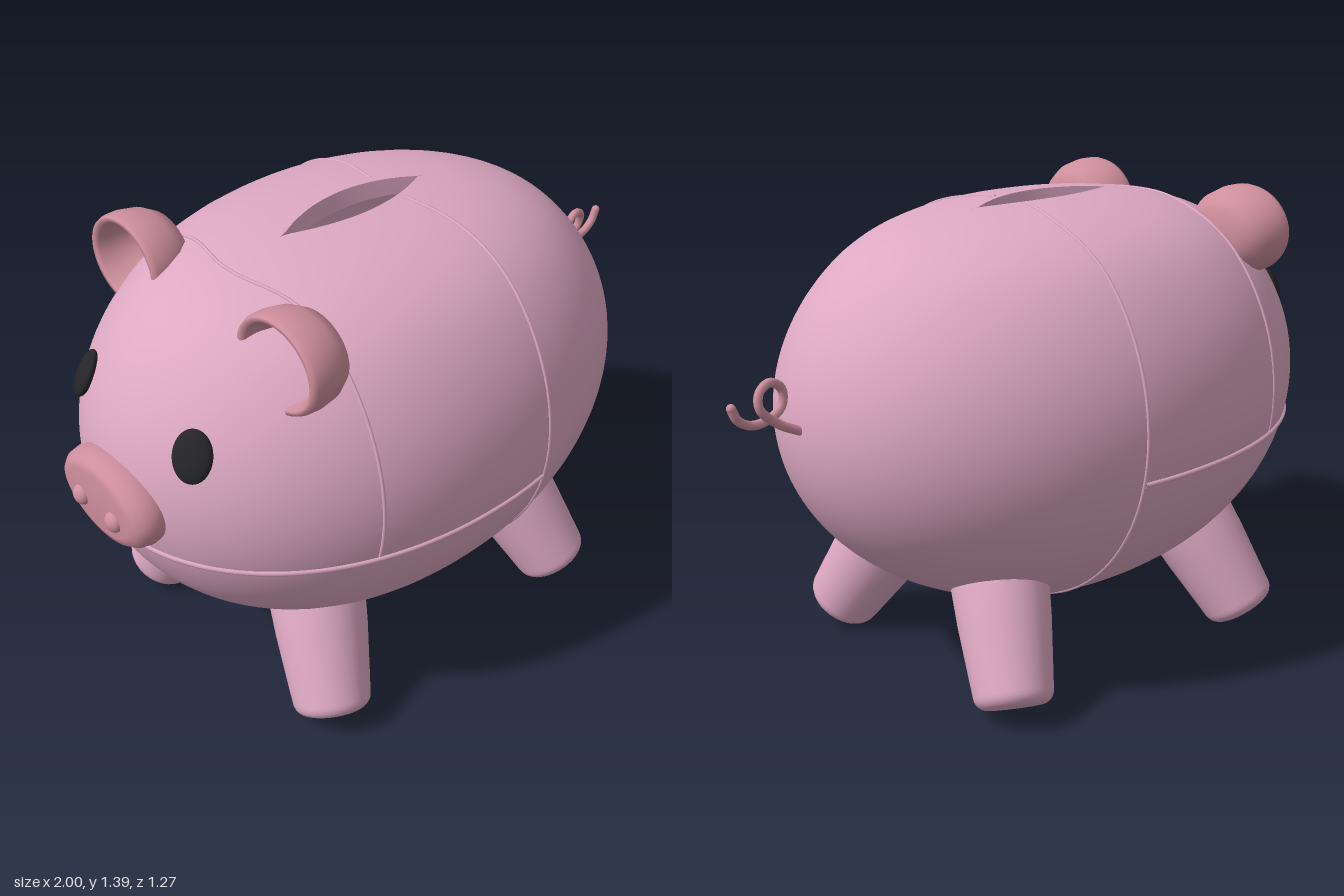
import * as THREE from 'three';
import { mergeVertices } from 'three/addons/utils/BufferGeometryUtils.js';

const mat = (color) => new THREE.MeshStandardMaterial({ color, side: THREE.DoubleSide });
const V2 = (x, y) => new THREE.Vector2(x, y);
const V3 = (x, y, z) => new THREE.Vector3(x, y, z);

// Body: egg lying along x, slightly flattened on top
const CX = -0.07, CY = 0.81, HALF = 0.86, RY = 0.635, RZ = 0.633;
const ringScale = (x) => {
  const u = Math.min(1, Math.abs(x - CX) / HALF);
  return Math.sqrt(Math.max(0, 1 - Math.pow(u, x < CX ? 2.2 : 2)));
};
const flatten = (y) => (y > 1.2 ? y - 1.1 * (y - 1.2) ** 2 : y);
// Point on the skin; angle is measured from the top, towards +z
const skin = (x, angle) => {
  const r = ringScale(x);
  return V3(x, flatten(CY + RY * r * Math.cos(angle)), RZ * r * Math.sin(angle));
};
// Half width of the lens-shaped coin slot
const slotHalf = (x) => Math.max(0, 0.066 * (1 - ((x + 0.075) / 0.245) ** 2));

function grid(nu, nv, fn) {
  const geo = new THREE.PlaneGeometry(1, 1, nu, nv);
  const pos = geo.attributes.position;
  for (let i = 0; i < pos.count; i++) {
    const p = fn(pos.getX(i) + 0.5, 0.5 - pos.getY(i));
    pos.setXYZ(i, p.x, p.y, p.z);
  }
  geo.deleteAttribute('uv');
  geo.deleteAttribute('normal');
  const merged = mergeVertices(geo, 1e-5);
  merged.computeVertexNormals();
  return merged;
}

export function createModel() {
  const pig = new THREE.Group();
  pig.name = 'piggyBank';
  const pink = mat(0xdda8c2), rose = mat(0xcf8f9d), black = mat(0x252527);
  const gold = mat(0xd2a437), orange = mat(0xd9662b), grey = mat(0x777c84);

  const add = (name, geo, material, parent = pig) => {
    const mesh = new THREE.Mesh(geo, material);
    mesh.name = name;
    parent.add(mesh);
    return mesh;
  };
  const tube = (name, pts, radius, material, closed = false) =>
    add(name, new THREE.TubeGeometry(new THREE.CatmullRomCurve3(pts, closed), pts.length * 4, radius, 8, closed), material);

  // Shell, opened along the slot
  add('body', grid(112, 80, (u, v) => {
    const x = CX - HALF * Math.cos(u * Math.PI);
    const r = ringScale(x);
    const start = r > 0.1 ? Math.asin(slotHalf(x) / (RZ * r)) : 0;
    return skin(x, start + v * (2 * Math.PI - 2 * start));
  }), pink);

  // Slot walls turning down into the shell
  for (const s of [1, -1]) {
    add('slotLip', grid(32, 4, (u, v) => {
      const x = -0.32 + 0.49 * u;
      const w = slotHalf(x);
      const p = skin(x, Math.asin(w / (RZ * ringScale(x))));
      return V3(x, p.y - 0.05 * v, s * w * (1 - 0.15 * v));
    }), pink);
  }

  // Coin and small pieces standing under the slot
  const coin = add('coin', new THREE.CylinderGeometry(0.27, 0.27, 0.04, 40), gold);
  coin.rotation.x = Math.PI / 2;
  coin.position.set(-0.075, 0.98, 0);
  add('coinClip', new THREE.BoxGeometry(0.08, 0.04, 0.05), grey).position.set(-0.01, 1.24, 0);
  add('coinTab', new THREE.BoxGeometry(0.13, 0.04, 0.012), orange).position.set(0.07, 1.2, -0.026);

  // Seams between the shell panels
  const bow = (a) => Math.exp(-((a / 0.3) ** 2));
  const rear = [], brow = [], side = [];
  for (let i = 0; i <= 60; i++) {
    const a = 0.11 + (i / 60) * (2 * Math.PI - 0.22);
    rear.push(skin(0.095 - 0.05 * bow(Math.min(a, 2 * Math.PI - a)), a));
  }
  for (let i = 0; i <= 48; i++) {
    const a = -1.76 + (i / 48) * 3.52;
    brow.push(skin(-0.445 - 0.06 * bow(a) - 0.02 * Math.abs(a), a));
    const t = (i / 48 - 0.5) * Math.PI;
    const x = 0.09 - 1.006 * Math.cos(t);
    const z = RZ * Math.sqrt(Math.max(0, ringScale(x) ** 2 - ((CY - 0.69) / RY) ** 2));
    side.push(V3(x, 0.69, Math.sign(t) * z));
  }
  tube('rearSeam', rear, 0.005, pink);
  tube('browSeam', brow, 0.005, pink);
  tube('sideSeam', side, 0.008, pink);

  // Snout with two nostrils
  const snout = add('snout', new THREE.LatheGeometry(
    [V2(0.85, -0.02), V2(0.97, 0.02), V2(1, 0.05), V2(0.96, 0.08), V2(0.86, 0.1), V2(0.7, 0.108), V2(0, 0.11)], 40), rose);
  snout.rotation.z = Math.PI / 2;
  snout.scale.set(0.125, 1, 0.195);
  snout.position.set(-0.87, 0.815, 0);

  // Rounded, tapering leg profile
  const legProfile = [V2(0, 0)];
  for (let i = 0; i <= 6; i++) {
    const a = (i / 6) * Math.PI / 2;
    legProfile.push(V2(0.075 + 0.04 * Math.sin(a), 0.04 - 0.04 * Math.cos(a)));
  }
  legProfile.push(V2(0.135, 0.24), V2(0.145, 0.4), V2(0.13, 0.44), V2(0, 0.45));
  const legGeo = new THREE.LatheGeometry(legProfile, 32);

  // Cupped ear profile: inside, rim, outside
  const earGeo = new THREE.LatheGeometry([
    V2(0, 0.13), V2(0.4, 0.122), V2(0.65, 0.09), V2(0.78, 0.04), V2(0.82, 0.01), V2(0.87, 0), V2(0.95, 0),
    V2(0.99, 0.015), V2(1, 0.05), V2(0.94, 0.1), V2(0.78, 0.14), V2(0.5, 0.16), V2(0, 0.168)], 40);

  for (const s of [1, -1]) {
    const nostril = add('nostril', new THREE.SphereGeometry(0.03, 20, 14), rose);
    nostril.scale.x = 0.8;
    nostril.position.set(-0.976, 0.8, s * 0.075);

    const eye = add('eye', new THREE.SphereGeometry(1, 28, 20), black);
    eye.scale.set(0.055, 0.072, 0.022);
    eye.position.set(-0.825, 1.035, s * 0.24);
    eye.lookAt(eye.position.clone().add(V3(-1.0, 0.56, s * 0.6)));

    const ear = add('ear', earGeo, rose);
    ear.rotation.z = -Math.PI / 2 - 0.04;
    ear.scale.set(0.132, 1, 0.155);
    ear.position.set(-0.622, 1.258, s * 0.325);

    for (const [name, x, lean] of [['frontLeg', -0.55, 0.1], ['hindLeg', 0.405, -0.1]]) {
      const leg = add(name, legGeo, pink);
      leg.position.set(x, 0.05, s * 0.435);
      leg.quaternion.setFromUnitVectors(V3(0, 1, 0), V3(lean, 0.32, -0.19 * s).normalize());
    }
  }

  // Curly tail
  const tailPts = [
    [0.77, 0.835, 0], [0.855, 0.88, 0], [0.905, 0.93, 0], [0.9, 0.97, 0.008], [0.86, 0.99, 0.018], [0.822, 0.963, 0.024],
    [0.825, 0.918, 0.022], [0.87, 0.892, 0.014], [0.93, 0.89, 0.004], [0.972, 0.915, 0], [0.988, 0.95, 0]].map((p) => V3(...p));
  tube('tail', tailPts, 0.013, rose);
  add('tailTip', new THREE.SphereGeometry(0.013, 12, 8), rose).position.copy(tailPts[tailPts.length - 1]);

  return pig;
}
